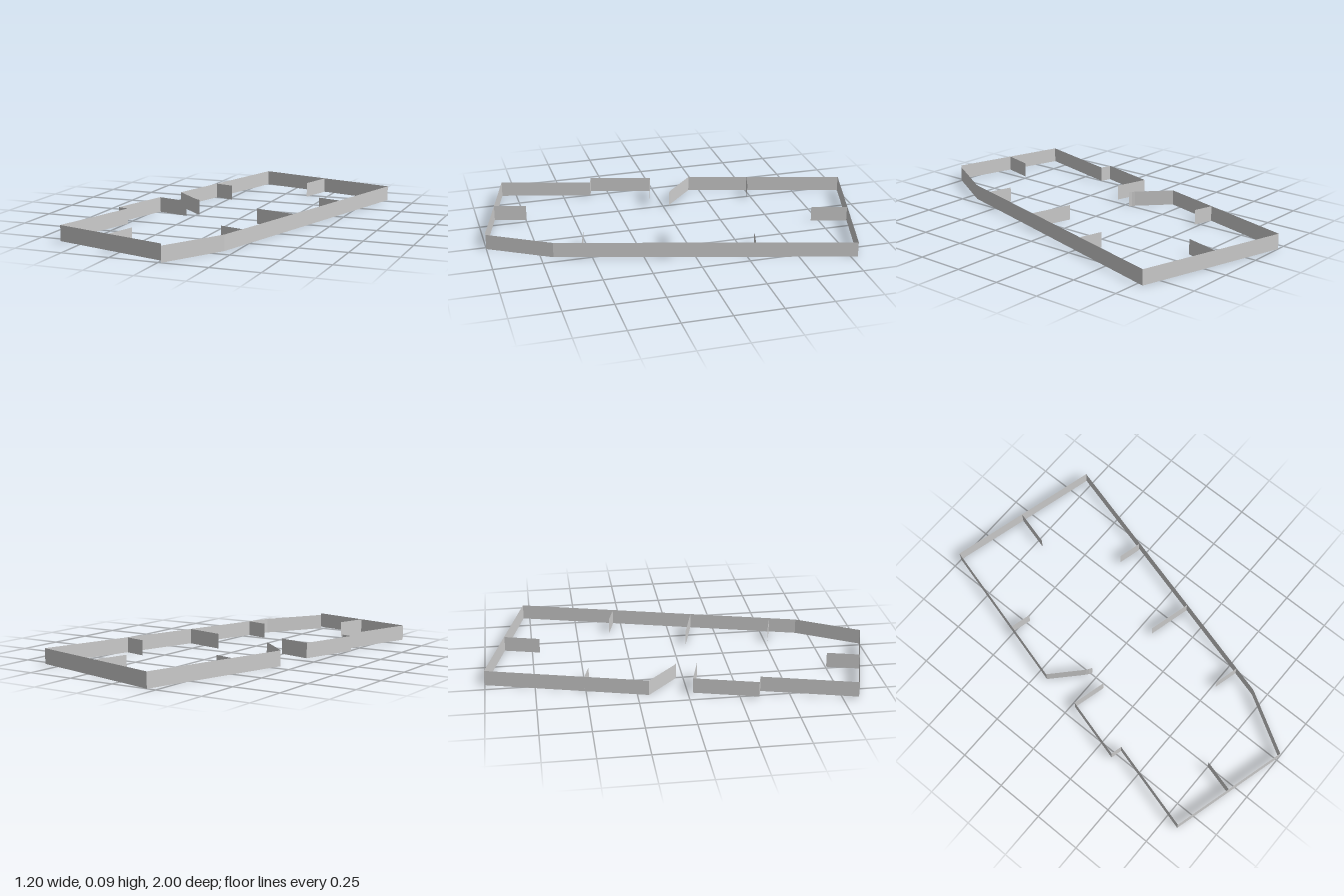
import * as THREE from 'three';

const HEIGHT = 0.08;
const material = new THREE.MeshStandardMaterial({ color: 0xcccccc, side: THREE.DoubleSide, flatShading: true });

// Thin upright wall following a floor-plan path of [x, z] points
function wall(name, path, base) {
  const positions = [];
  for (let i = 0; i < path.length - 1; i++) {
    const [ax, az] = path[i];
    const [bx, bz] = path[i + 1];
    const top = base + HEIGHT;
    positions.push(ax, base, az, bx, base, bz, bx, top, bz);
    positions.push(ax, base, az, bx, top, bz, ax, top, az);
  }
  const geometry = new THREE.BufferGeometry();
  geometry.setAttribute('position', new THREE.Float32BufferAttribute(positions, 3));
  geometry.computeVertexNormals();
  const mesh = new THREE.Mesh(geometry, material);
  mesh.name = name;
  return mesh;
}

export function createModel() {
  const group = new THREE.Group();
  group.name = 'floorPlanWalls';
  const low = 0, raised = 0.01;

  // Outer wall: front corner, long left side, back, right side and angled entrance
  group.add(wall('mainOuterWall', [
    [0.016, 1.0], [0.198, 0.688], [0.6, -0.784], [-0.2, -1.0],
    [-0.42, -0.193], [-0.27, -0.05], [-0.257, -0.04], [-0.24, -0.032],
  ], low));

  // Slightly raised outer wall: entrance return, small step and front
  group.add(wall('frontOuterWall', [
    [-0.27, 0.07], [-0.445, 0.023], [-0.531, 0.341], [-0.473, 0.357],
    [-0.6, 0.828], [0.016, 1.0],
  ], raised));

  // Short partitions standing off the outer walls
  const partitions = [
    ['backPartition', [0.19, -0.893], [0.141, -0.71], low],
    ['rightPartition', [-0.335, -0.506], [-0.229, -0.477], low],
    ['leftBackPartition', [0.461, -0.291], [0.34, -0.323], low],
    ['leftMiddlePartition', [0.348, 0.129], [0.128, 0.07], low],
    ['leftFrontPartition', [0.235, 0.549], [0.11, 0.515], low],
    ['frontPartition', [-0.298, 0.912], [-0.254, 0.749], raised],
  ];
  for (const [name, from, to, base] of partitions) group.add(wall(name, [from, to], base));

  return group;
}
